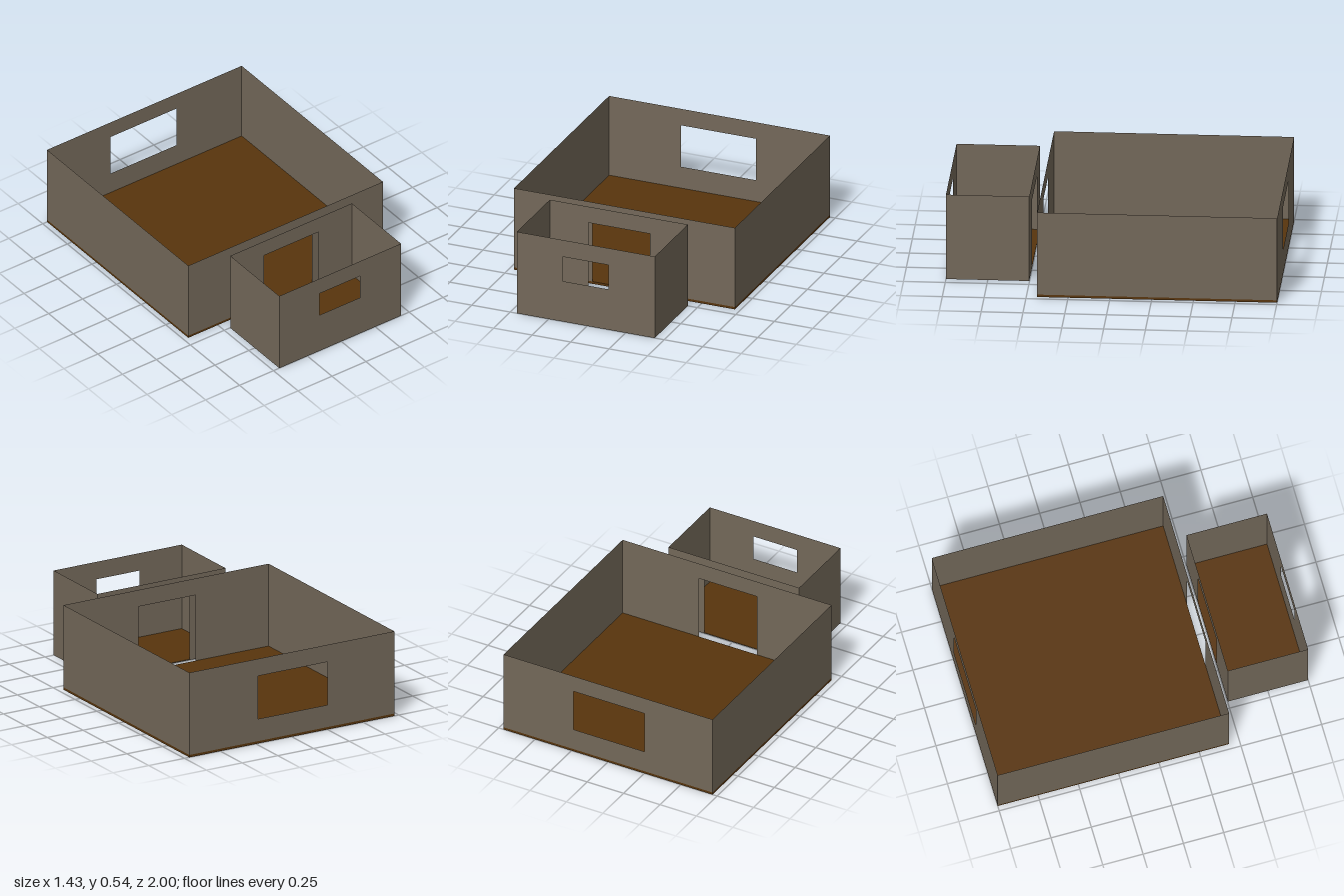
import * as THREE from 'three';

const wallMat = new THREE.MeshStandardMaterial({ color: 0x736859, side: THREE.DoubleSide });
wallMat.name = 'taupe wall';
const floorMat = new THREE.MeshStandardMaterial({ color: 0x58350d });
floorMat.name = 'brown floor';

const TOP = 0.535;

// Upright sheet spanning x0..x1, optionally with a window or a doorway [left, bottom, right, top]
function sheet(name, x0, x1, y0, { window: w, door: d } = {}) {
  const pts = [[x0, y0]];
  if (d) pts.push([d[0], y0], [d[0], d[3]], [d[2], d[3]], [d[2], y0]);
  pts.push([x1, y0], [x1, TOP], [x0, TOP]);
  const shape = new THREE.Shape(pts.map(p => new THREE.Vector2(...p)));
  if (w) {
    const hole = [[w[0], w[1]], [w[0], w[3]], [w[2], w[3]], [w[2], w[1]]];
    shape.holes.push(new THREE.Path(hole.map(p => new THREE.Vector2(...p))));
  }
  const mesh = new THREE.Mesh(new THREE.ShapeGeometry(shape), wallMat);
  mesh.name = name;
  return mesh;
}

// Open-topped room: a floor slab and four paper-thin walls
function room(name, x0, x1, z0, z1, floorTop, wallBase, backOpening, frontOpening, slabMats) {
  const g = new THREE.Group();
  g.name = name;

  const slab = new THREE.Mesh(new THREE.BoxGeometry(x1 - x0, floorTop, z1 - z0), slabMats);
  slab.position.set((x0 + x1) / 2, floorTop / 2, (z0 + z1) / 2);
  slab.name = 'floor';
  g.add(slab);

  const back = sheet('backWall', x0, x1, wallBase, backOpening);
  back.position.z = z0;
  const front = sheet('frontWall', x0, x1, wallBase, frontOpening);
  front.position.z = z1;
  g.add(back, front);

  for (const [side, x] of [['rightWall', x0], ['leftWall', x1]]) {
    const wall = sheet(side, -z1, -z0, wallBase);
    wall.rotation.y = Math.PI / 2;
    wall.position.x = x;
    g.add(wall);
  }
  return g;
}

export function createModel() {
  const model = new THREE.Group();
  model.name = 'twoRooms';
  const door = [-0.207, 0, 0.193, 0.43];

  // Large rear room, standing on a brown slab
  model.add(room('largeRoom', -0.718, 0.716, -1, 0.435, 0.015, 0.015,
    { window: [-0.25, 0.155, 0.237, 0.427] }, { door }, floorMat));

  // Small front room, brown only on the upper face of its floor
  model.add(room('smallRoom', -0.457, 0.439, 0.502, 1, 0.005, 0,
    { door }, { window: [-0.16, 0.265, 0.139, 0.425] },
    [wallMat, wallMat, floorMat, wallMat, wallMat, wallMat]));

  return model;
}
